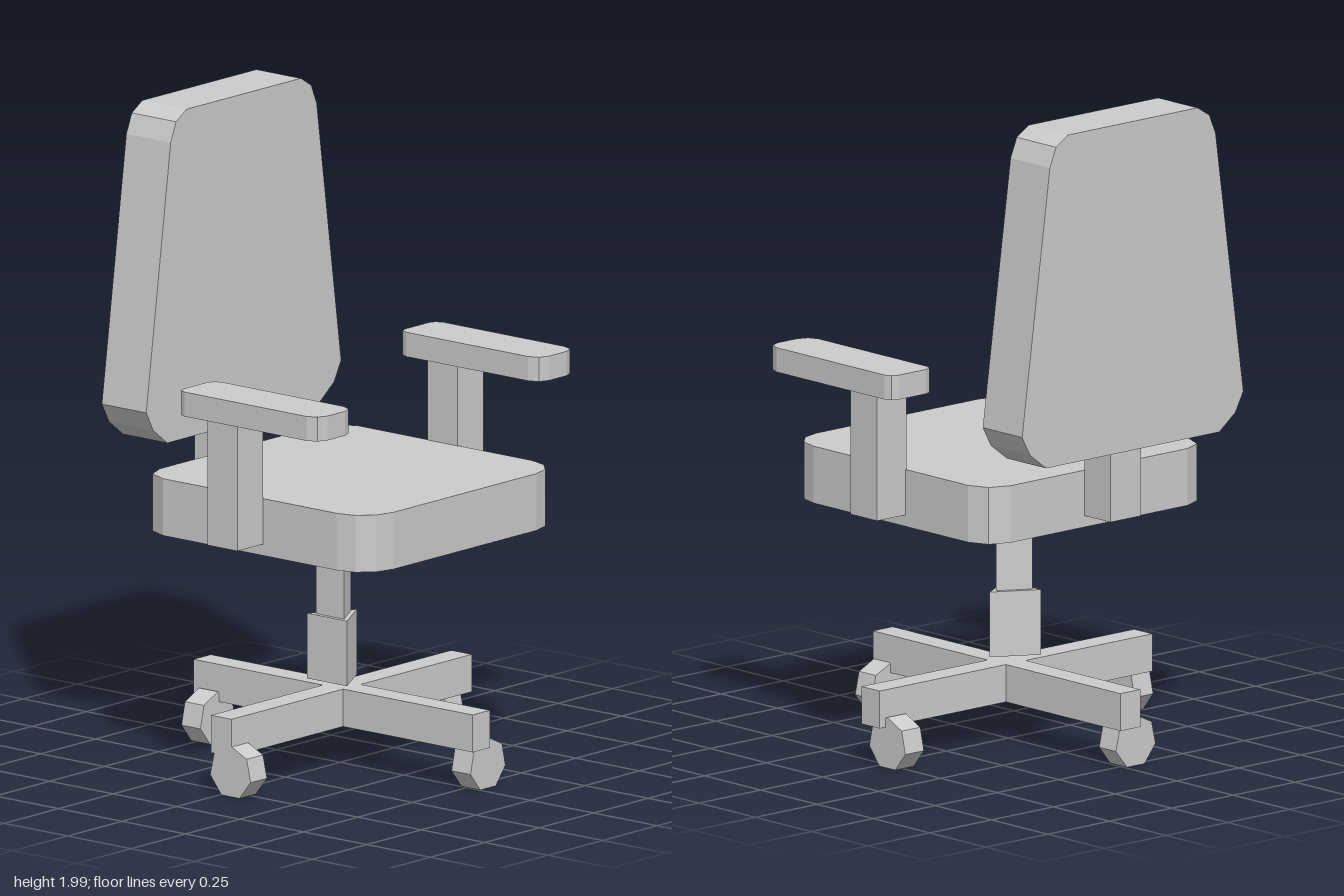
import * as THREE from 'three';

const grey = new THREE.MeshStandardMaterial({ color: 0xcccccc, flatShading: true });

function add(parent, name, geometry, x = 0, y = 0, z = 0) {
  const mesh = new THREE.Mesh(geometry, grey);
  mesh.name = name;
  mesh.position.set(x, y, z);
  parent.add(mesh);
  return mesh;
}

// Box given by its extents on each axis
function addBox(parent, name, [x0, x1], [y0, y1], [z0, z1]) {
  return add(parent, name, new THREE.BoxGeometry(x1 - x0, y1 - y0, z1 - z0),
    (x0 + x1) / 2, (y0 + y1) / 2, (z0 + z1) / 2);
}

// Flat slab with faceted corners; front (+x) and rear corners are [radius, segments]
function slab(x0, x1, halfWidth, height, front, rear) {
  const points = [];
  const corner = (sx, sy, start, [r, n]) => {
    const cx = sx > 0 ? x1 - r : x0 + r;
    const cy = sy * (halfWidth - r);
    for (let i = 0; i <= n; i++) {
      const a = start + (i / n) * Math.PI / 2;
      points.push(new THREE.Vector2(cx + r * Math.cos(a), cy + r * Math.sin(a)));
    }
  };
  corner(1, 1, 0, front);
  corner(-1, 1, Math.PI / 2, rear);
  corner(-1, -1, Math.PI, rear);
  corner(1, -1, Math.PI * 1.5, front);
  return new THREE.ExtrudeGeometry(new THREE.Shape(points), { depth: height, bevelEnabled: false })
    .rotateX(-Math.PI / 2);
}

export function createModel() {
  const chair = new THREE.Group();
  chair.name = 'officeChair';

  // Seat cushion
  add(chair, 'seat', slab(-0.405, 0.49, 0.448, 0.175, [0.12, 3], [0.09, 2]), 0, 0.735, -0.002);

  // Tapered backrest: half outline mirrored, extruded along x
  const half = [[0.35, 0.99], [0.415, 1.04], [0.447, 1.1], [0.335, 1.91], [0.31, 1.97], [0.262, 2]];
  const outline = [...half, ...half.map(([w, y]) => [-w, y]).reverse()]
    .map(([w, y]) => new THREE.Vector2(w, y));
  const back = new THREE.ExtrudeGeometry(new THREE.Shape(outline), { depth: 0.175, bevelEnabled: false });
  add(chair, 'backrest', back.rotateY(Math.PI / 2), -0.56, 0, -0.006);
  addBox(chair, 'backSupport', [-0.52, -0.405], [0.77, 1.0], [-0.06, 0.063]);

  // Armrests and their posts
  for (const side of [1, -1]) {
    const arm = new THREE.Group();
    arm.name = side > 0 ? 'frontSideArm' : 'rearSideArm';
    add(arm, 'armPad', slab(-0.135, 0.42, 0.085, 0.075, [0.045, 2], [0.03, 2]), 0, 1.16, side * 0.508 - 0.002);
    const z = side * 0.505;
    addBox(arm, 'armPost', [-0.038, 0.08], [0.77, 1.16], [z - 0.059, z + 0.059]);
    chair.add(arm);
  }

  // Three-sided gas column in two widths
  const prism = (r, h) => new THREE.CylinderGeometry(r, r, h, 3).rotateY(Math.PI);
  add(chair, 'upperColumn', prism(0.064, 0.275), 0.005, 0.5975, 0.02);
  add(chair, 'lowerColumn', prism(0.091, 0.2), 0.005, 0.365, 0.02);

  // Cross-shaped base
  addBox(chair, 'baseBeam', [-0.545, 0.555], [0.13, 0.245], [-0.042, 0.038]);
  for (const [z0, z1] of [[0.038, 0.55], [-0.552, -0.042]]) {
    addBox(chair, 'baseArm', [-0.036, 0.045], [0.13, 0.245], [z0, z1]);
  }

  // Seven-sided casters, each set to the same side of its arm
  const wheel = new THREE.CylinderGeometry(0.082, 0.082, 0.075, 7).rotateX(-Math.PI / 2);
  for (const [x, z, turn] of [[0.04, 0.512, 0], [0.513, -0.038, 1], [-0.045, -0.492, 0], [-0.482, 0.043, 1]]) {
    add(chair, 'caster', wheel, x, 0.08, z).rotation.y = turn * Math.PI / 2;
  }

  return chair;
}
